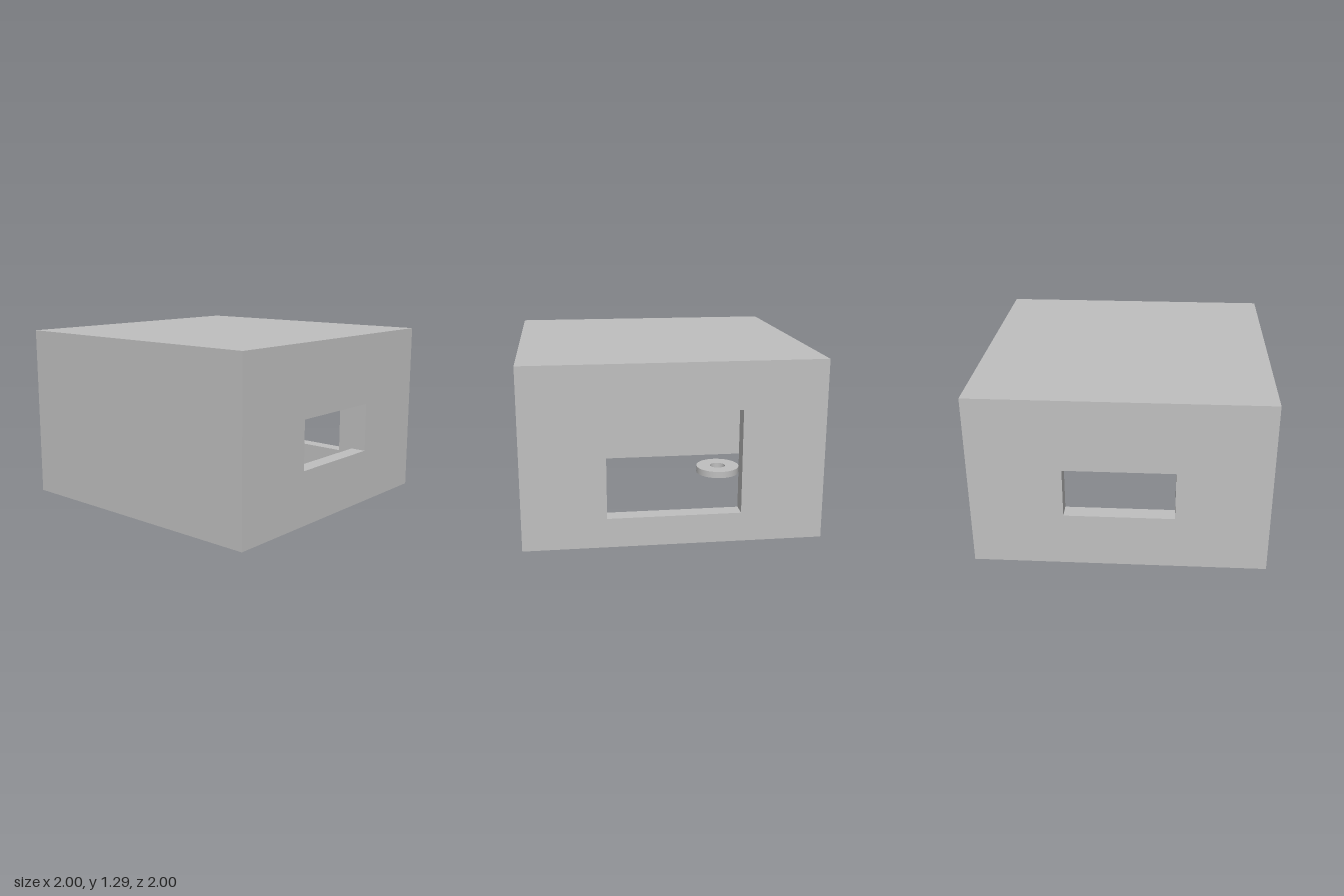
import * as THREE from 'three';

const T = 0.11;              // wall thickness
const BASE = 0.065, TOP = 1.29;

// Rectangular outline, as a shape or a hole
function rect(path, x, y0, y1) {
  path.moveTo(-x, y0);
  path.lineTo(x, y0);
  path.lineTo(x, y1);
  path.lineTo(-x, y1);
  path.closePath();
  return path;
}

// Wall facing +z, mitred at its sides and top so that neighbours meet cleanly
function wallGeometry(opening) {
  const shape = rect(new THREE.Shape(), 1, BASE, TOP);
  if (opening) shape.holes.push(rect(new THREE.Path(), ...opening));
  const solid = new THREE.ExtrudeGeometry(shape, { depth: T, bevelEnabled: false });
  const p = solid.attributes.position;
  for (let i = 0; i < p.count; i++) {
    if (p.getZ(i) > T / 2) continue;
    if (Math.abs(p.getX(i)) > 0.99) p.setX(i, Math.sign(p.getX(i)) * (1 - T));
    if (p.getY(i) > TOP - 0.01) p.setY(i, TOP - T);
  }
  // Leave out the hidden mitre faces
  const kept = [];
  const e = 0.001;
  for (let i = 0; i < p.count; i += 3) {
    const v = [0, 1, 2].map(k => new THREE.Vector3().fromBufferAttribute(p, i + k));
    const hidden = v.every(a => a.x > 1 - T - e) || v.every(a => a.x < -1 + T + e)
      || v.every(a => a.y > TOP - T - e);
    if (!hidden) v.forEach(a => kept.push(a.x, a.y, a.z));
  }
  const g = new THREE.BufferGeometry();
  g.setAttribute('position', new THREE.Float32BufferAttribute(kept, 3));
  g.computeVertexNormals();
  return g.translate(0, 0, 1 - T);
}

export function createModel() {
  const model = new THREE.Group();
  model.name = 'enclosure';
  const grey = new THREE.MeshStandardMaterial({ color: 0xc0c0c0 });
  grey.name = 'grey';

  const add = (name, geometry, parent = model) => {
    const mesh = new THREE.Mesh(geometry, grey);
    mesh.name = name;
    parent.add(mesh);
    return mesh;
  };

  // Four walls: slots front and back, a large opening on +x, -x closed
  const slot = [0.3725, 0.445, 0.79];
  const port = [0.445, 0.265, 0.97];
  [['frontWall', slot], ['openSideWall', port], ['backWall', slot], ['closedSideWall', null]]
    .forEach(([name, opening], i) => {
      add(name, wallGeometry(opening).rotateY(i * Math.PI / 2));
    });

  // Roof and ceiling
  const roof = new THREE.Group();
  roof.name = 'roof';
  model.add(roof);
  add('roofTop', new THREE.PlaneGeometry(2, 2).rotateX(-Math.PI / 2).translate(0, TOP, 0), roof);
  const inner = 2 - 2 * T;
  add('ceiling', new THREE.PlaneGeometry(inner, inner).rotateX(Math.PI / 2).translate(0, TOP - T, 0), roof);

  // Loose ring feet below the open base
  const R = 0.1825, r = 0.065, H = 0.055;
  const profile = [[r, 0], [R, 0], [R, H], [r, H], [r, 0]].map(([x, y]) => new THREE.Vector2(x, y));
  const ring = new THREE.LatheGeometry(profile, 48);
  // Separate flat faces from round ones to keep the edges sharp
  const rings = profile.slice(0, -1).map((a, i) => new THREE.LatheGeometry([a, profile[i + 1]], 48));
  ring.dispose();
  for (const x of [-0.614, 0.61]) {
    for (const z of [-0.612, 0.614]) {
      const foot = new THREE.Group();
      foot.name = 'ringFoot';
      foot.position.set(x, 0, z);
      ['footBottom', 'footRim', 'footTop', 'footBore'].forEach((n, i) => add(n, rings[i], foot));
      model.add(foot);
    }
  }
  return model;
}
